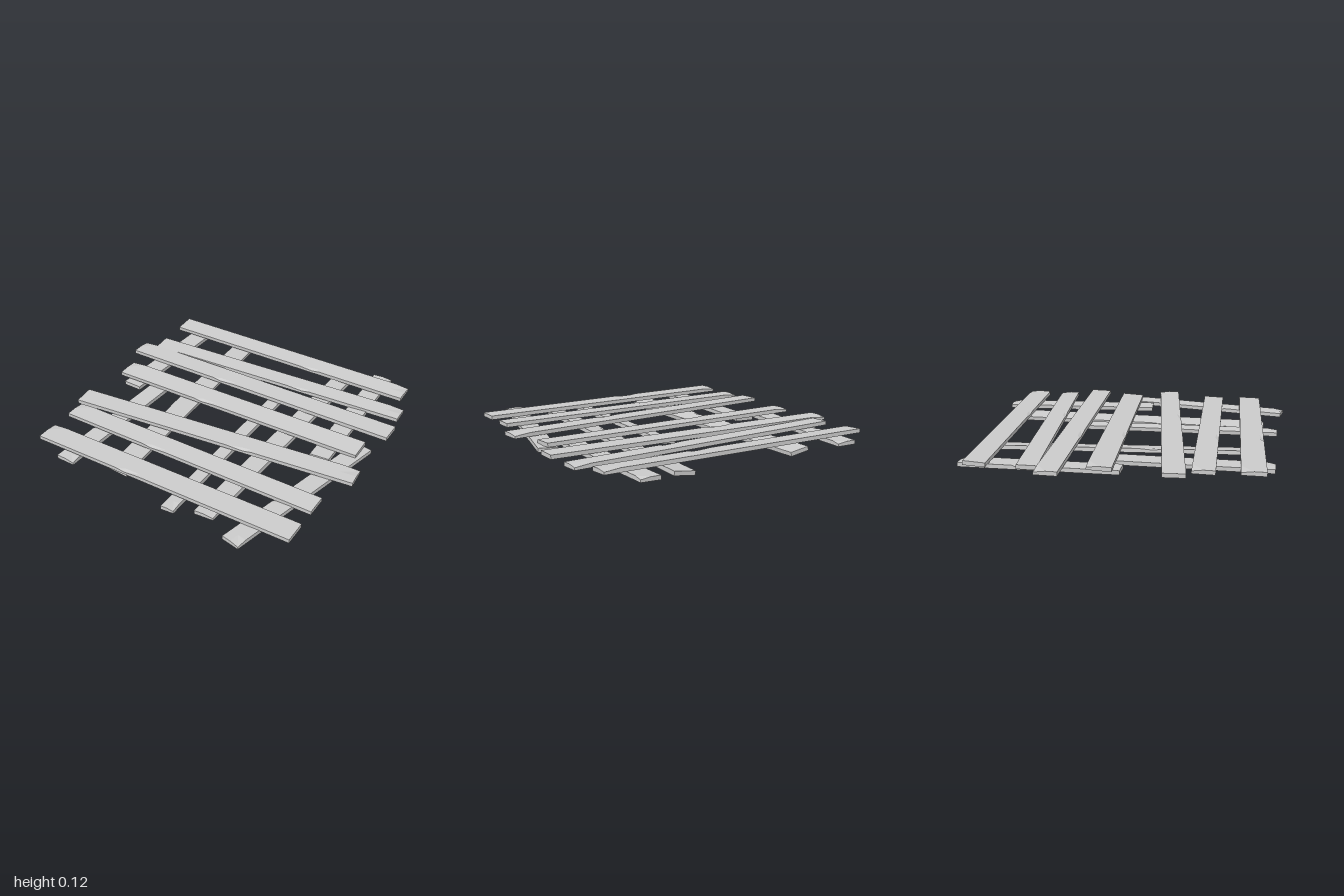
import * as THREE from 'three';

const material = new THREE.MeshStandardMaterial({ color: 0xcccccc, flatShading: true });
const THICK = 0.026;

// Cut positions along and across a plank, as fractions of its size
const ALONG = [-0.5, 0.07, 0.13, 0.16, 0.445, 0.5];
const ACROSS = [-0.5, 0, 0.34, 0.5];

// Plank along x with a chip in its front top edge and one worn top corner.
// side = -1 puts the wear on the other half.
function plankGeometry(length, width, side) {
  const geo = new THREE.BoxGeometry(ALONG.length - 1, THICK, ACROSS.length - 1, ALONG.length - 1, 1, ACROSS.length - 1);
  const pos = geo.attributes.position;
  const cuts = side > 0 ? ALONG : ALONG.map((f) => -f).reverse();
  for (let i = 0; i < pos.count; i++) {
    const fx = cuts[Math.round(pos.getX(i) + (ALONG.length - 1) / 2)];
    const fz = ACROSS[Math.round(pos.getZ(i) + (ACROSS.length - 1) / 2)];
    let y = pos.getY(i);
    if (y > 0 && fx * side === 0.13 && fz === 0.5) y -= 0.009;
    if (y > 0 && fx * side === 0.5 && fz === -0.5) y -= 0.01;
    pos.setXYZ(i, fx * length, y, fz * width);
  }
  geo.computeVertexNormals();
  return geo;
}

// Place a plank between two end centres, rolled about its length
function plank(name, from, to, width, roll, side) {
  const a = new THREE.Vector3(...from);
  const b = new THREE.Vector3(...to);
  const x = b.clone().sub(a);
  const mesh = new THREE.Mesh(plankGeometry(x.length(), width, side), material);
  x.normalize();
  const z = x.clone().cross(new THREE.Vector3(0, 1, 0)).normalize();
  const y = z.clone().cross(x);
  mesh.quaternion.setFromRotationMatrix(new THREE.Matrix4().makeBasis(x, y, z));
  mesh.rotateX(roll);
  mesh.position.copy(a).add(b).multiplyScalar(0.5);
  mesh.name = name;
  return mesh;
}

// Upper boards, back to front: right end, left end, width, roll, worn half
const BOARDS = [
  [[-0.9, 0.09, -0.855], [0.905, 0.099, -0.818], 0.133, 0.08, 1],
  [[-0.9, 0.078, -0.55], [0.967, 0.08, -0.602], 0.122, 0.04, 1],
  [[-0.998, 0.078, -0.424], [0.996, 0.092, -0.367], 0.137, 0.03, -1],
  [[-0.908, 0.085, -0.135], [0.898, 0.088, -0.115], 0.147, 0.07, -1],
  [[-0.966, 0.075, 0.29], [0.992, 0.094, 0.153], 0.136, 0.03, 1],
  [[-0.91, 0.082, 0.452], [0.895, 0.082, 0.491], 0.136, 0.04, -1],
  [[-0.91, 0.081, 0.732], [0.895, 0.081, 0.753], 0.147, 0.03, -1],
];

// Lower battens: back end, front end, width, roll, worn half
const BATTENS = [
  [[-0.73, 0.05, -0.98], [-0.787, 0.045, -0.02], 0.13, 0, -1],
  [[-0.602, 0.05, -0.13], [-0.66, 0.039, 0.865], 0.13, 0.03, 1],
  [[-0.375, 0.047, -0.957], [-0.32, 0.035, 0.78], 0.136, -0.13, 1],
  [[0.16, 0.049, -0.36], [0.14, 0.035, 0.918], 0.09, 0.08, 1],
  [[0.44, 0.043, -0.95], [0.342, 0.022, 0.838], 0.136, 0.12, 1],
  [[0.68, 0.06, -0.985], [0.695, 0.054, 0.05], 0.13, 0.04, -1],
  [[0.893, 0.062, -0.18], [0.604, 0.052, 0.977], 0.122, 0.04, 1],
];

export function createModel() {
  const model = new THREE.Group();
  model.name = 'plankFloor';
  const addRow = (groupName, name, rows) => {
    const group = new THREE.Group();
    group.name = groupName;
    rows.forEach((row, i) => group.add(plank(name + (i + 1), ...row)));
    model.add(group);
  };
  addRow('upperBoards', 'board', BOARDS);
  addRow('lowerBattens', 'batten', BATTENS);
  return model;
}
